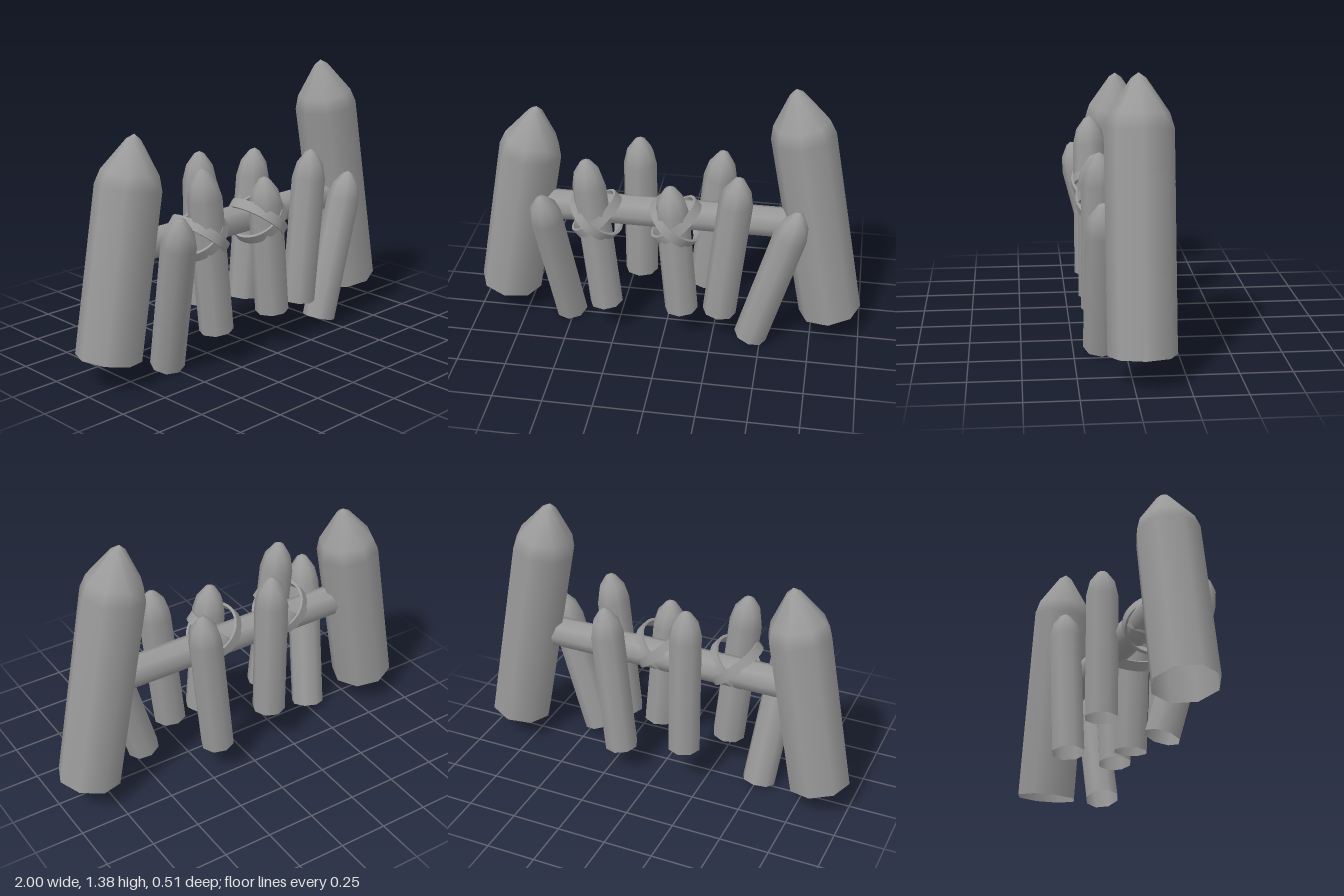
import * as THREE from 'three';
import { toCreasedNormals } from 'three/addons/utils/BufferGeometryUtils.js';

const material = new THREE.MeshStandardMaterial({ color: 0x9a9a9a, side: THREE.DoubleSide });
const UP = new THREE.Vector3(0, 1, 0);

// Eight-sided stake, open at the foot; tip lists [radius factor, distance below the point]
function stake(name, base, top, radius, tip) {
  const foot = new THREE.Vector3(...base);
  const axis = new THREE.Vector3(...top).sub(foot);
  const length = axis.length();
  const profile = [new THREE.Vector2(radius, 0)];
  for (const [f, d] of tip) profile.push(new THREE.Vector2(radius * f, length - d));
  const mesh = new THREE.Mesh(new THREE.LatheGeometry(profile, 8), material);
  mesh.name = name;
  mesh.position.copy(foot);
  mesh.quaternion.setFromUnitVectors(UP, axis.normalize());
  return mesh;
}

// Flat oval hoop lying level, with a little thickness
function hoop(rx, rz) {
  const thickness = 0.014, width = 0.05;
  const shape = new THREE.Shape().absellipse(0, 0, rx, rz, 0, Math.PI * 2);
  shape.holes.push(new THREE.Path().absellipse(0, 0, rx - thickness, rz - thickness, 0, Math.PI * 2));
  const geometry = new THREE.ExtrudeGeometry(shape, { depth: width, bevelEnabled: false, curveSegments: 24 });
  geometry.translate(0, 0, -width / 2).rotateX(Math.PI / 2);
  return toCreasedNormals(geometry, 0.6);
}

// Two crossed bands tying a stake to the rail; the outer one passes over the inner
function lashing(x, name) {
  const group = new THREE.Group();
  group.name = name;
  for (const [side, rx, rz] of [[-1, 0.147, 0.162], [1, 0.143, 0.152]]) {
    const band = new THREE.Mesh(hoop(rx, rz), material);
    band.name = 'band';
    band.rotation.z = side * 0.7;
    group.add(band);
  }
  group.position.set(x, 0.66, 0.055);
  return group;
}

export function createModel() {
  const model = new THREE.Group();
  model.name = 'palisade';

  // Large end posts leaning inward
  const bigTip = [[1, 0.25], [0.87, 0.18], [0.22, 0.025], [0, 0]];
  model.add(stake('leftPost', [0.843, 0.14, -0.04], [0.608, 1.38, -0.04], 0.159, bigTip));
  model.add(stake('rightPost', [-0.845, 0.14, -0.04], [-0.655, 1.19, -0.04], 0.159, bigTip));

  // Small stakes in front of and behind the rail
  const smallTip = [[1, 0.15], [0.78, 0.07], [0.3, 0.012], [0, 0]];
  const stakes = [
    ['frontStake', [-0.515, 0.021, 0.0], [-0.595, 0.825, 0.207]],
    ['frontStake', [-0.298, 0.175, 0.12], [-0.385, 1.005, 0.12]],
    ['backStake', [-0.157, 0.22, -0.142], [-0.16, 1.005, -0.142]],
    ['frontStake', [0.092, 0.175, 0.12], [0.03, 0.89, 0.12]],
    ['backStake', [0.18, 0.155, -0.175], [0.26, 0.945, -0.175]],
    ['frontStake', [0.287, 0.178, 0.12], [0.37, 0.97, 0.12]],
    ['frontStake', [0.45, 0.04, 0.12], [0.667, 0.8, 0.12]],
  ];
  for (const [name, base, top] of stakes) model.add(stake(name, base, top, 0.085, smallTip));

  // Cross rail running between the posts
  const rail = new THREE.Mesh(new THREE.CylinderGeometry(0.078, 0.078, 1.28, 8), material);
  rail.name = 'rail';
  rail.rotation.z = Math.PI / 2;
  rail.position.set(0, 0.65, -0.02);
  model.add(rail);

  // Crossed lashings
  model.add(lashing(-0.35, 'rightLashing'), lashing(0.053, 'leftLashing'));
  return model;
}
